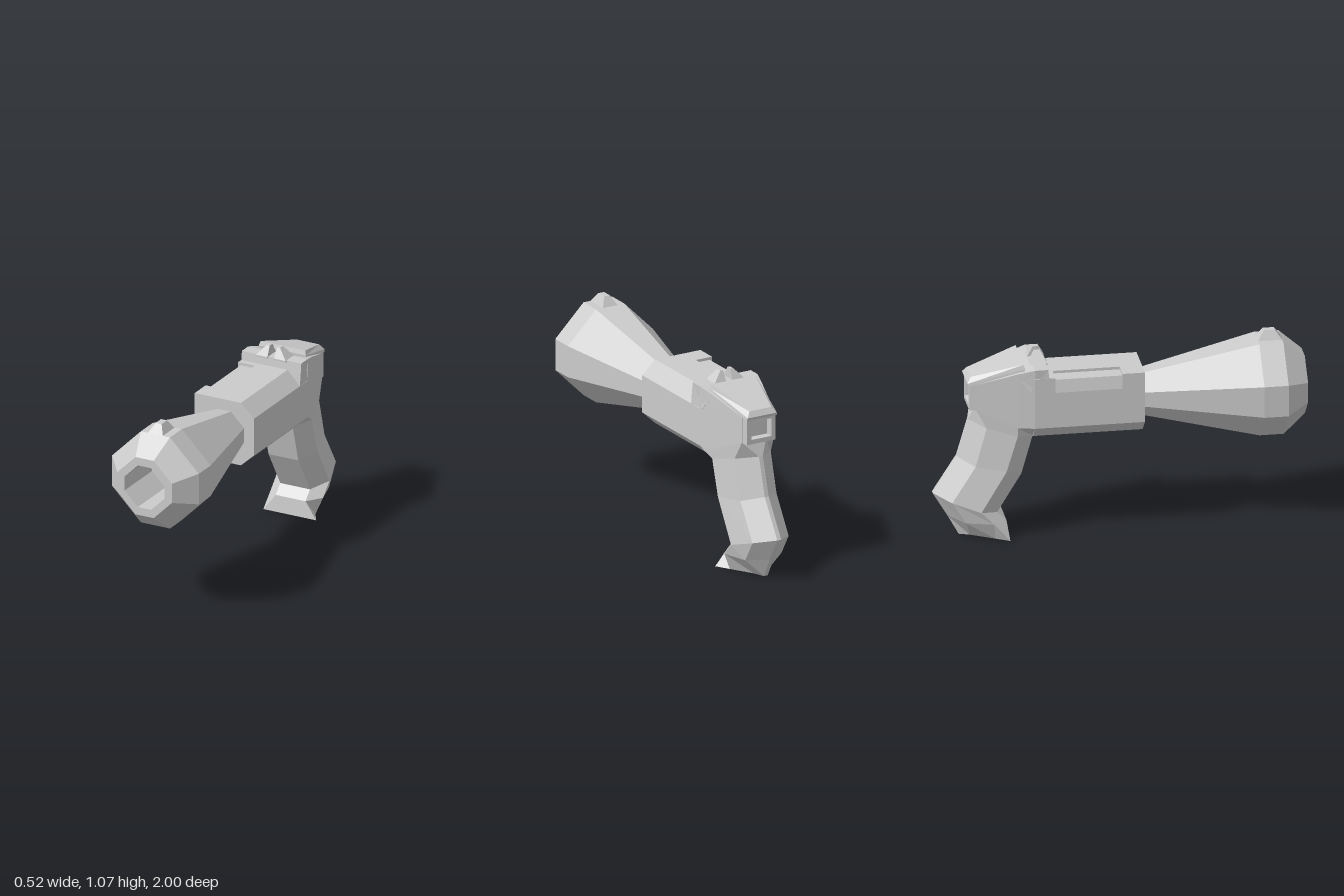
import * as THREE from 'three';

const material = new THREE.MeshStandardMaterial({ color: 0xcccccc, flatShading: true });

// Skin a list of equal-length rings of [x, y, z] points, cap both ends, face outwards.
function loft(name, rings) {
  const tris = [];
  const n = rings[0].length;
  for (let r = 0; r < rings.length - 1; r++) {
    for (let i = 0; i < n; i++) {
      const j = (i + 1) % n;
      const [a, b, c, d] = [rings[r][i], rings[r][j], rings[r + 1][j], rings[r + 1][i]];
      tris.push([a, b, c], [a, c, d]);
    }
  }
  const cap = (ring, flip) => {
    const mid = [0, 1, 2].map(k => ring.reduce((s, p) => s + p[k], 0) / n);
    ring.forEach((p, i) => {
      const q = ring[(i + 1) % n];
      tris.push(flip ? [mid, q, p] : [mid, p, q]);
    });
  };
  cap(rings[0], true);
  cap(rings[rings.length - 1], false);
  // a negative volume means the winding is inside out
  const volume = tris.reduce((s, t) => {
    const [a, b, c] = t.map(p => new THREE.Vector3(...p));
    return s + a.dot(b.cross(c));
  }, 0);
  if (volume < 0) tris.forEach(t => t.reverse());
  const geometry = new THREE.BufferGeometry();
  geometry.setAttribute('position', new THREE.Float32BufferAttribute(tris.flat(2), 3));
  geometry.computeVertexNormals();
  const mesh = new THREE.Mesh(geometry, material);
  mesh.name = name;
  return mesh;
}

// Close a half ring (x > 0) with its mirror image.
const mirror = half => [...half, ...half.map(([x, y, z]) => [-x, y, z]).reverse()];
const rectXZ = (x0, x1, y, z0, z1) => [[x0, y, z0], [x1, y, z0], [x1, y, z1], [x0, y, z1]];

// Eight-sided barrel section with half height r.
function octagon(z, r) {
  const f = r * 0.335;
  return [[f, r], [r, f], [r, -f], [f, -r], [-f, -r], [-r, -f], [-r, f], [-f, r]]
    .map(([x, y]) => [x, 0.753 + y, z]);
}

// Receiver section: bevelled on one top edge, square with an optional port on the other.
function receiverRing(z, port) {
  return [[-0.1, 0.575], [0.1, 0.575], [0.18, 0.65], [0.18, 0.86], [0.1, 0.935], [-0.08, 0.935],
    port ? [-0.08, 0.92] : [-0.08, 0.935],
    port ? [-0.165, 0.92] : [-0.18, 0.935],
    [-0.18, 0.85], [-0.18, 0.65]].map(([x, y]) => [x, y, z]);
}

export function createModel() {
  const model = new THREE.Group();
  model.name = 'flaredBlaster';

  // flared barrel with a hollow muzzle
  model.add(loft('barrel', [
    [0.1, 0.115], [0.75, 0.2625], [0.88, 0.2625], [1, 0.165], [1, 0.12], [0.7, 0.12],
  ].map(([z, r]) => octagon(z, r))));

  model.add(loft('frontSight', [
    rectXZ(-0.045, 0.045, 1.005, 0.75, 0.88),
    rectXZ(-0.045, 0.045, 1.015, 0.75, 0.88),
    rectXZ(-0.018, 0.018, 1.065, 0.785, 0.845),
  ]));

  model.add(loft('receiver', [
    receiverRing(0.12, false), receiverRing(0, false), receiverRing(0, true),
    receiverRing(-0.36, true), receiverRing(-0.36, false), receiverRing(-0.47, false),
  ]));

  // rear body running down into the bent grip and its flared foot
  model.add(loft('bodyAndGrip', [
    [[0.18, 0.985, -0.47], [0.157, 0.96, -0.56], [0.1, 0.89, -0.775], [0.05, 0.89, -0.775]],
    [[0.18, 0.65, -0.47], [0.157, 0.65, -0.56], [0.1, 0.745, -0.775], [0.05, 0.745, -0.775]],
    [[0.09, 0.575, -0.47], [0.155, 0.6, -0.56], [0.112, 0.64, -0.72], [0.012, 0.66, -0.805]],
    [[0.09, 0.36, -0.53], [0.155, 0.4, -0.62], [0.112, 0.42, -0.78], [0.012, 0.45, -0.865]],
    [[0.09, 0.145, -0.66], [0.155, 0.172, -0.755], [0.112, 0.22, -0.905], [0.012, 0.245, -0.995]],
    [[0.09, 0.095, -0.61], [0.155, 0.1, -0.685], [0.112, 0.1, -0.83], [0.012, 0.11, -0.915]],
    [[0.16, 0.003, -0.6], [0.115, 0.003, -0.675], [0.04, 0.003, -0.8], [0.012, 0, -0.855]],
  ].map(mirror)));

  // raised shoulder block across the back of the receiver
  const shoulder = side => [
    [0.18, 0.86, -0.385], [0.18, 0.985, -0.4], [0.18, 0.985, -0.47],
    [0.163, 0.92, -0.54], [0.178, 0.86, -0.49],
  ].map(([x, y, z]) => [x * side, y, z]);
  model.add(loft('shoulder', [shoulder(-1), shoulder(1)]));

  // pair of inward-leaning rear sights
  for (const side of [-1, 1]) {
    const ring = points => points.map(([x, y, z]) => [x * side, y, z]);
    model.add(loft(side > 0 ? 'rearSightLeft' : 'rearSightRight', [
      ring(rectXZ(0.02, 0.09, 0.975, -0.48, -0.39)),
      ring(rectXZ(0.02, 0.09, 0.985, -0.48, -0.39)),
      ring(rectXZ(0.022, 0.04, 1.04, -0.452, -0.42)),
    ]));
  }

  // sloping bevelled top plate
  model.add(loft('topPlate', [
    [[0.145, 0.955, -0.52], [0.093, 0.88, -0.815]],
    [[0.143, 0.98, -0.518], [0.09, 0.895, -0.82]],
    [[0.135, 1.005, -0.525], [0.068, 0.925, -0.8]],
  ].map(mirror)));

  // hollow square socket at the back
  const socketRing = (z, x, y0, y1) => [[-x, y0, z], [x, y0, z], [x, y1, z], [-x, y1, z]];
  model.add(loft('rearSocket', [
    socketRing(-0.75, 0.103, 0.745, 0.89), socketRing(-0.81, 0.088, 0.74, 0.885),
    socketRing(-0.81, 0.062, 0.765, 0.865), socketRing(-0.777, 0.055, 0.77, 0.86),
  ]));

  return model;
}
